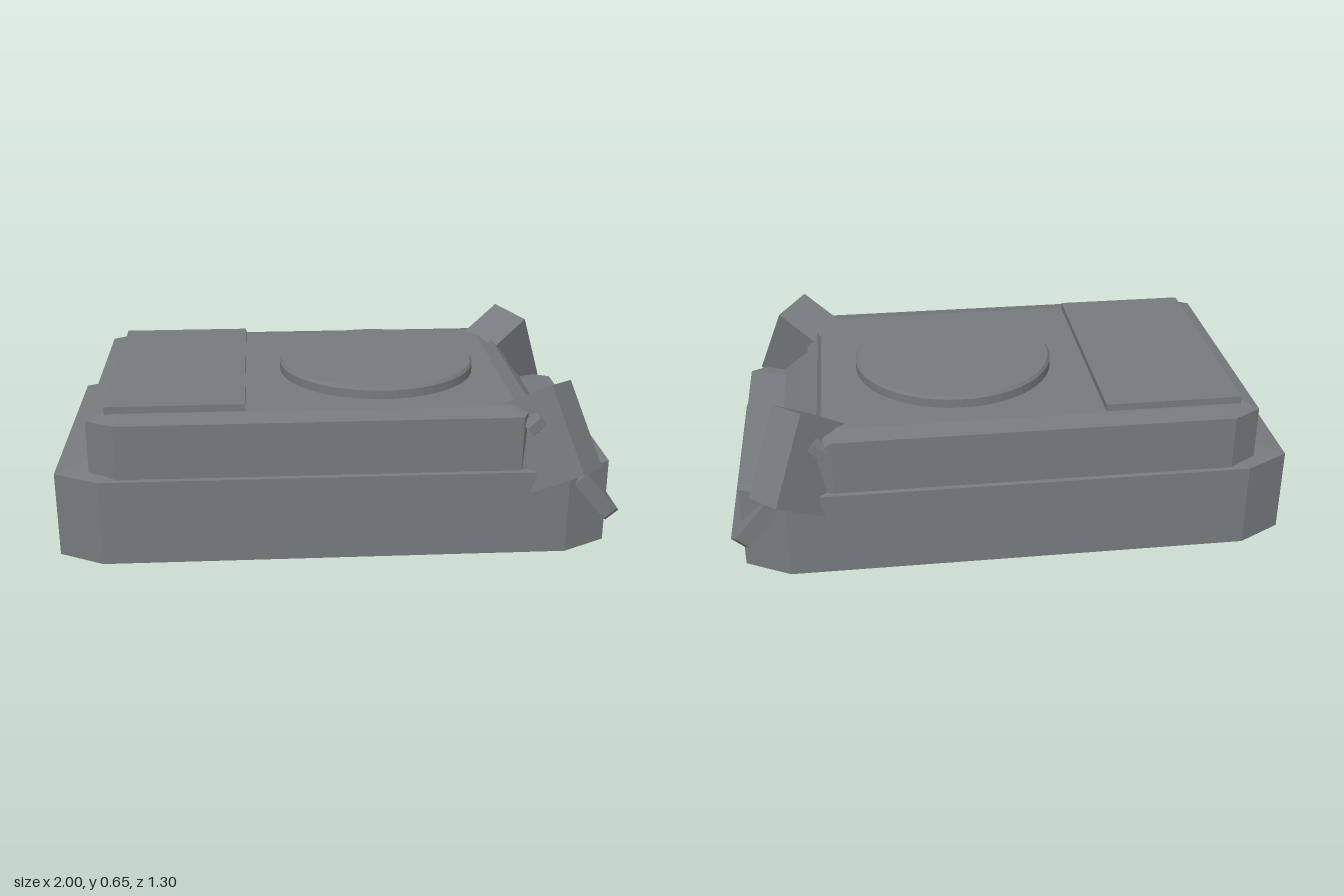
import * as THREE from 'three';

const material = new THREE.MeshStandardMaterial({ color: 0x767a7d, flatShading: true });

// Eight-sided outline with cut corners: cL and cR in x at each end, cz in z
function outline(y, x0, x1, z, cL, cR, cz) {
  const k = z - cz;
  return [
    [x1, k], [x1, -k], [x1 - cR, -z], [x0 + cL, -z],
    [x0, -k], [x0, k], [x0 + cL, z], [x1 - cR, z],
  ].map(([x, zz]) => new THREE.Vector3(x, y, zz));
}

// Closed solid through a stack of outlines, lowest first
function loft(rings) {
  const points = [];
  const n = rings[0].length;
  for (let r = 0; r < rings.length - 1; r++) {
    for (let i = 0; i < n; i++) {
      const j = (i + 1) % n, a = rings[r], b = rings[r + 1];
      points.push(a[i], a[j], b[j], a[i], b[j], b[i]);
    }
  }
  const low = rings[0], top = rings[rings.length - 1];
  for (let i = 1; i < n - 1; i++) {
    points.push(low[0], low[i + 1], low[i], top[0], top[i], top[i + 1]);
  }
  const geometry = new THREE.BufferGeometry().setFromPoints(points);
  geometry.computeVertexNormals();
  return geometry;
}

// Flat slab with cut corners, half sizes in x, y and z
function slab(hx, hy, hz, cx, cz) {
  return loft([-hy, hy].map((y) => outline(y, -hx, hx, hz, cx, cx, cz)));
}

export function createModel() {
  const group = new THREE.Group();
  const add = (name, geometry, x = 0, y = 0, z = 0) => {
    const mesh = new THREE.Mesh(geometry, material);
    mesh.name = name;
    mesh.position.set(x, y, z);
    group.add(mesh);
    return mesh;
  };

  // Lower body with bevelled base and shallow sloping shoulder
  add('lowerBody', loft([
    outline(0, -0.84, 0.8, 0.467, 0.13, 0.13, 0.075),
    outline(0.03, -1, 0.96, 0.553, 0.16, 0.16, 0.088),
    outline(0.34, -1, 0.96, 0.553, 0.16, 0.16, 0.088),
    outline(0.362, -0.87, 0.81, 0.43, 0.1, 0.16, 0.06),
  ]));

  // Upper body, sloped at the +x end
  add('upperBody', loft([
    outline(0.335, -0.877, 0.84, 0.538, 0.1, 0.21, 0.06),
    outline(0.54, -0.877, 0.66, 0.538, 0.1, 0.03, 0.06),
    outline(0.555, -0.82, 0.62, 0.465, 0.06, 0.03, 0.03),
  ]));

  // Rectangular plate and round cover on the top
  add('topPlate', new THREE.BoxGeometry(0.485, 0.04, 0.91), -0.573, 0.56, 0);
  const coverProfile = [[0, 0.54], [0.365, 0.54], [0.365, 0.587], [0.357, 0.598], [0, 0.598]]
    .map(([r, y]) => new THREE.Vector2(r, y));
  add('roundCover', new THREE.LatheGeometry(coverProfile, 48), 0.165, 0, 0);

  // Cross bar along the top of the slope
  add('crossBar', slab(0.032, 0.03, 0.54, 0.015, 0.03), 0.675, 0.505, 0)
    .rotation.z = -0.83;

  // Tilted bumper slab that cuts through the +x end
  add('bumper', slab(0.12, 0.029, 0.54, 0.03, 0.04), 0.9, 0.235, 0)
    .rotation.z = -0.87;

  // Mirrored tilted corner blocks, each spanned by three edge vectors
  for (const s of [1, -1]) {
    const u = new THREE.Vector3(0.1, -0.03, -0.135 * s).multiplyScalar(s);
    const v = new THREE.Vector3(0.1, -0.285, 0.13 * s);
    const w = new THREE.Vector3(-0.16, -0.105, -0.097 * s);
    const block = new THREE.BoxGeometry(1, 1, 1)
      .applyMatrix4(new THREE.Matrix4().makeBasis(u, v, w));
    add(s > 0 ? 'frontCornerBlock' : 'backCornerBlock', block, 0.742, 0.44, 0.469 * s);
  }

  return group;
}
